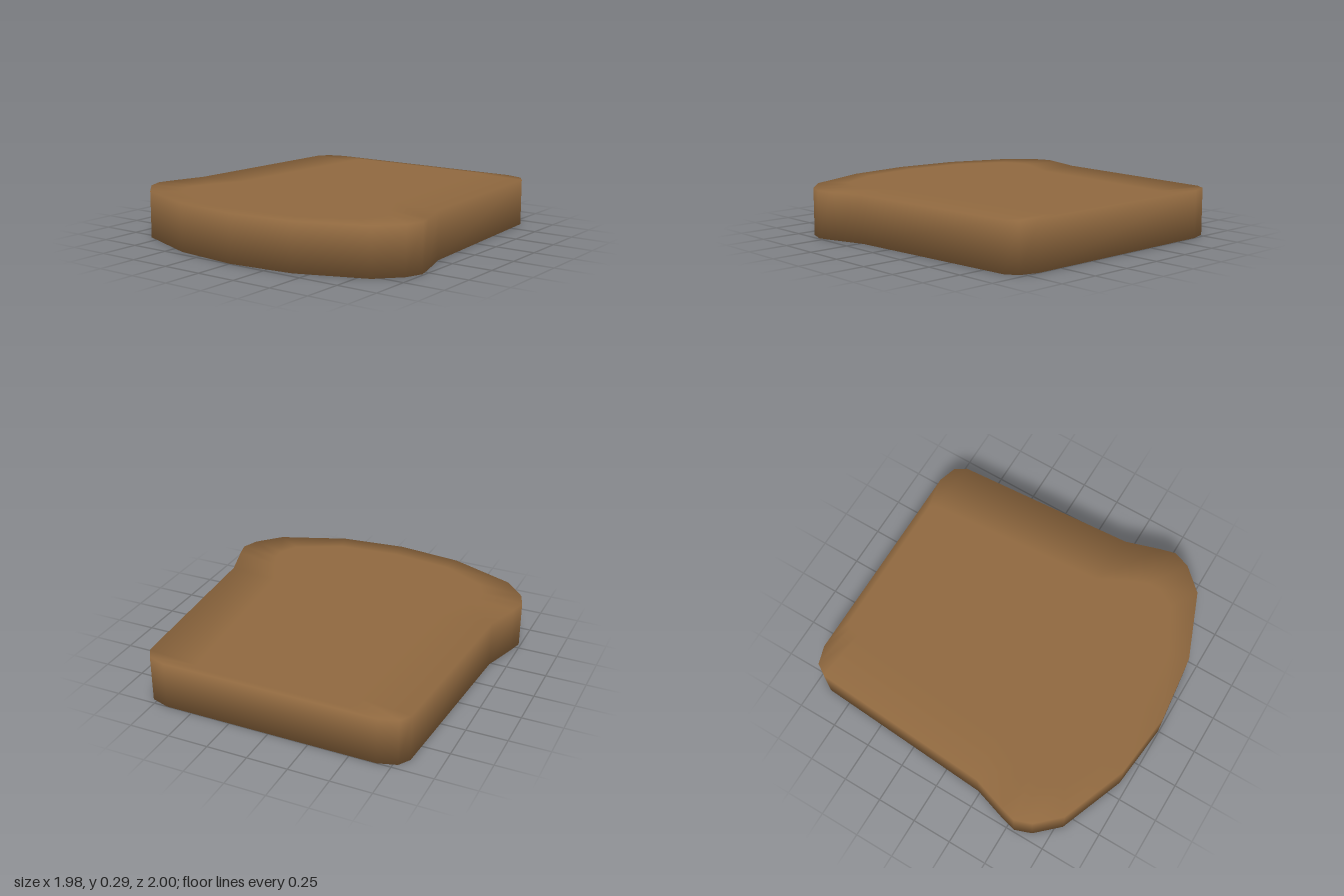
import * as THREE from 'three';

const HEIGHT = 0.29;

// Half outline from front centre round to the back: [rim x, rim z, inner x, inner z].
// The inner loop bounds the flat middle; the softened band lies between the two.
const HALF = [
  [0, 0.995, 0, 0.87],
  [0.41, 0.95, 0.38, 0.83],
  [0.82, 0.79, 0.66, 0.69],
  [0.95, 0.65, 0.72, 0.58],
  [0.988, 0.545, 0.72, 0.5],
  [0.963, 0.45, 0.68, 0.4],
  [0.895, 0.235, 0.58, 0.2],
  [0.822, -0.895, 0.5, -0.86],
  [0.777, -0.965, 0.49, -0.93],
  [0.665, -1, 0.47, -0.96],
];

function slabGeometry() {
  // Mirror the half into a closed loop, counterclockwise seen from above
  const mirrored = HALF.slice(1).reverse().map(([x, z, u, w]) => [-x, z, -u, w]);
  const loop = [...HALF, ...mirrored];
  const n = loop.length;
  const positions = [], normals = [], indices = [];
  const add = (x, y, z, nx, ny, nz) => {
    positions.push(x, y, z);
    normals.push(...new THREE.Vector3(nx, ny, nz).normalize().toArray());
  };

  // Top (side 1) and bottom (side -1): rim loop, inner loop, centre
  const stride = 2 * n + 1;
  for (const side of [1, -1]) {
    const y = side > 0 ? HEIGHT : 0;
    loop.forEach(([x, z], i) => {
      const a = loop[(i + n - 1) % n], b = loop[(i + 1) % n];
      const out = new THREE.Vector2(a[1] - b[1], b[0] - a[0]).normalize();
      // Rim normals lean outward so cap and wall shade as one soft surface
      add(x, y, z, out.x, side, out.y);
    });
    loop.forEach(([, , u, w]) => add(u, y, w, 0, side, 0));
    add(0, y, 0, 0, side, 0);
  }

  for (let i = 0; i < n; i++) {
    const j = (i + 1) % n;
    for (const base of [0, stride]) {
      const tri = (a, b, c) => (base === 0
        ? indices.push(a, b, c)
        : indices.push(a + base, c + base, b + base));
      tri(i, j, n + j);
      tri(i, n + j, n + i);
      tri(n + i, n + j, 2 * n);
    }
    // Upright wall
    indices.push(stride + i, stride + j, j, stride + i, j, i);
  }

  const geometry = new THREE.BufferGeometry();
  geometry.setAttribute('position', new THREE.Float32BufferAttribute(positions, 3));
  geometry.setAttribute('normal', new THREE.Float32BufferAttribute(normals, 3));
  geometry.setIndex(indices);
  // Orient the rim normals outward if the loop direction turned them in
  const p = geometry.attributes.position, m = geometry.attributes.normal;
  if (p.getX(4) * m.getX(4) < 0) {
    for (let i = 0; i < m.count; i++) m.setXYZ(i, -m.getX(i), m.getY(i), -m.getZ(i));
  }
  return geometry;
}

export function createModel() {
  const group = new THREE.Group();
  group.name = 'seatCushion';
  const brown = new THREE.MeshStandardMaterial({ color: 0x8f683f });
  brown.name = 'brown leather';
  const cushion = new THREE.Mesh(slabGeometry(), brown);
  cushion.name = 'cushion';
  group.add(cushion);
  return group;
}
